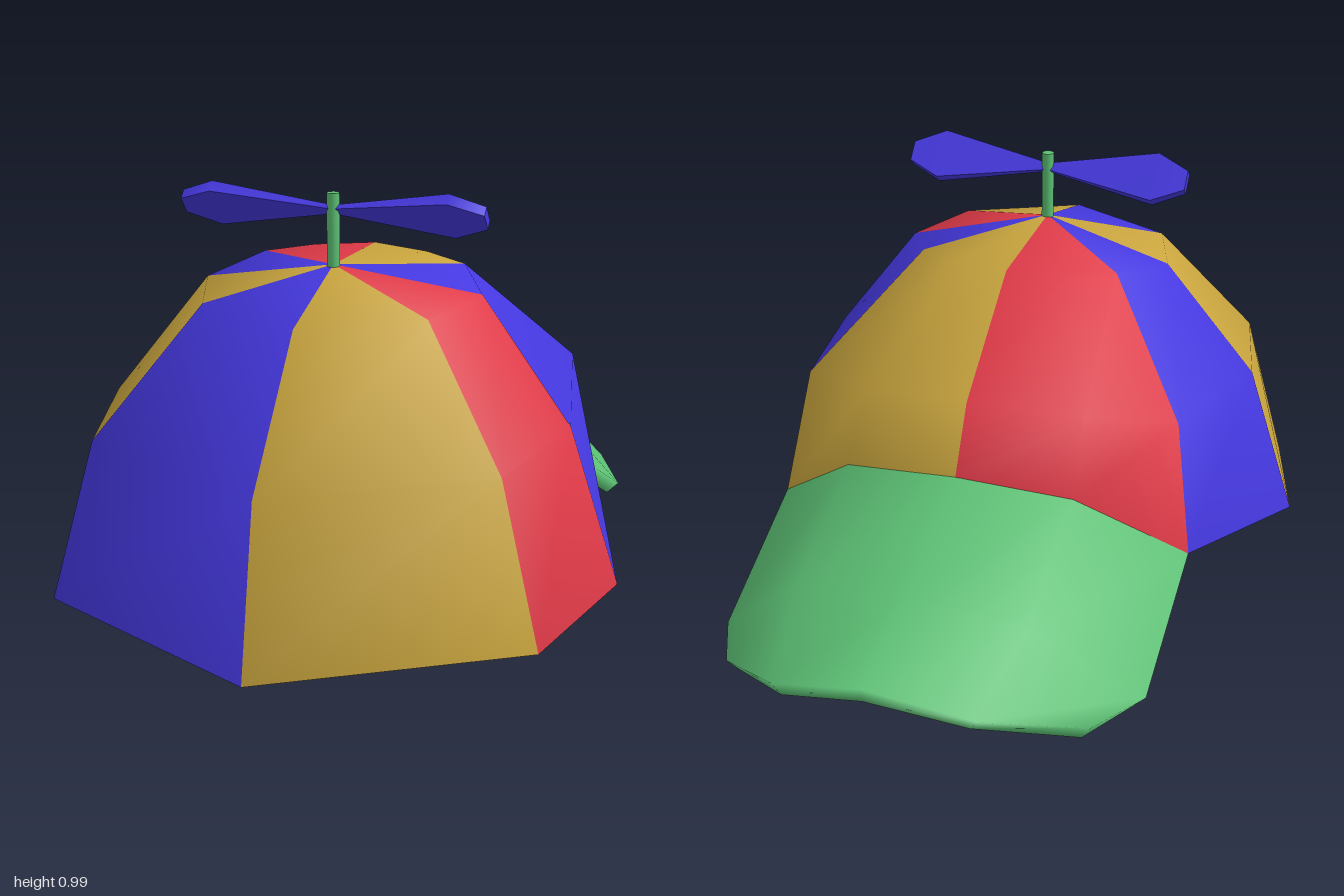
import * as THREE from 'three';

const paint = (name, color) => Object.assign(new THREE.MeshStandardMaterial({ color }), { name });

// Thick shell from a grid of points: outer skin, inner skin and a rim along the open edges
function shell(points, cells, thickness, materialCount, rimMaterial) {
  const n = points.length;
  const tris = [];
  for (const { quad: [a, b, c, d], mat } of cells) {
    if (a !== d) tris.push([a, b, d, mat], [b, c, d, mat]);
    else tris.push([a, b, c, mat]);
  }
  const skin = new THREE.BufferGeometry();
  skin.setAttribute('position', new THREE.Float32BufferAttribute(points.flat(), 3));
  skin.setIndex(tris.flatMap(t => t.slice(0, 3)));
  skin.computeVertexNormals();
  const normals = skin.attributes.normal.array;
  const inner = points.map((p, i) => p.map((v, k) => v - normals[i * 3 + k] * thickness));

  const lists = Array.from({ length: materialCount }, () => []);
  const edges = new Set();
  for (const [a, b, c, mat] of tris) {
    lists[mat].push(a, b, c, a + n, c + n, b + n);
    edges.add(`${a},${b}`).add(`${b},${c}`).add(`${c},${a}`);
  }
  for (const edge of edges) {
    const [a, b] = edge.split(',').map(Number);
    if (!edges.has(`${b},${a}`)) lists[rimMaterial].push(b, a, a + n, b, a + n, b + n);
  }

  const geo = new THREE.BufferGeometry();
  geo.setAttribute('position', new THREE.Float32BufferAttribute([...points, ...inner].flat(), 3));
  geo.setIndex(lists.flat());
  let start = 0;
  lists.forEach((list, m) => {
    if (list.length) geo.addGroup(start, list.length, m);
    start += list.length;
  });
  geo.computeVertexNormals();
  return geo;
}

const flipX = ([x, y, z]) => [-x, y, z];

export function createModel() {
  const yellow = paint('yellow cloth', 0xc9a53e);
  const red = paint('red cloth', 0xe03a48);
  const blue = paint('blue cloth', 0x4538e0);
  const green = paint('green trim', 0x5cc074);
  const materials = [yellow, red, blue, green];
  const Y = 0, R = 1, B = 2, G = 3;

  const model = new THREE.Group();
  model.name = 'propellerCap';
  const add = (name, geo, mat) => {
    const mesh = new THREE.Mesh(geo, mat);
    mesh.name = name;
    model.add(mesh);
    return mesh;
  };

  // Crown: seams from front round the left side to the back, each listed from top to rim
  const half = [
    [[0, 0.72, 0.635], [0, 0.42, 0.915], [0, 0.035, 1]],
    [[0.265, 0.725, 0.49], [0.475, 0.43, 0.655], [0.57, 0.05, 0.69]],
    [[0.335, 0.735, 0.27], [0.555, 0.45, 0.31], [0.673, 0.08, 0.31]],
    [[0.25, 0.765, 0.1], [0.47, 0.5, -0.13], [0.52, 0.19, -0.19]],
    [[0.14, 0.775, 0.04], [0.27, 0.54, -0.25], [0.28, 0.385, -0.36]],
    [[0, 0.78, 0], [0, 0.565, -0.3], [0, 0.41, -0.385]],
  ];
  const seams = [...half, ...half.slice(1, -1).reverse().map(s => s.map(flipX))];
  const panelColours = [Y, R, B, Y, Y, R, R, B, Y, B];
  const crownPoints = [[0, 0.8, 0.34], ...seams.flat()];
  const id = (row, col) => (row === 0 ? 0 : (col % seams.length) * 3 + row);
  const crownCells = [];
  panelColours.forEach((mat, j) => {
    for (let i = 0; i < 3; i++) {
      crownCells.push({ quad: [id(i, j), id(i + 1, j), id(i + 1, j + 1), id(i, j + 1)], mat });
    }
  });
  add('crown', shell(crownPoints, crownCells, 0.04, 4, G), materials);

  // Brim: rows from the crown seam to the outer edge, left half then mirrored
  const brimRows = [
    [[0.52, 0.19, -0.19], [0.28, 0.385, -0.36], [0, 0.41, -0.385]],
    [[0.52, 0.022, -0.57], [0.28, 0.23, -0.68], [0, 0.28, -0.72]],
    [[0.44, 0.04, -0.75], [0.24, 0.135, -0.935], [0, 0.21, -1]],
  ].map(r => [...r, flipX(r[1]), flipX(r[0])]);
  const brimCells = [];
  for (let i = 0; i < 2; i++) {
    for (let j = 0; j < 4; j++) {
      const a = i * 5 + j;
      brimCells.push({ quad: [a, a + 5, a + 6, a + 1], mat: 0 });
    }
  }
  add('brim', shell(brimRows.flat(), brimCells, 0.04, 1, 0), [green]);

  // Propeller stem
  const stem = new THREE.CylinderGeometry(0.015, 0.015, 0.19, 10);
  add('stem', stem, green).position.set(0, 0.872, 0.34);

  // Propeller: a bar reshaped into two pitched blades, sections from the hub to the tip
  const sections = [[0, 0.009, 0.006], [0.28, 0.064, 0.015], [0.36, 0.026, 0.013]];
  const blades = new THREE.BoxGeometry(4, 2, 2, 4, 1, 1);
  const pos = blades.attributes.position;
  for (let i = 0; i < pos.count; i++) {
    const step = Math.round(pos.getX(i));
    const [x, width, depth] = sections[Math.abs(step)];
    pos.setXYZ(i, Math.sign(step) * x, pos.getY(i) * width, pos.getZ(i) * depth);
  }
  blades.computeVertexNormals();
  const propeller = add('propeller', blades, blue);
  propeller.position.set(0, 0.928, 0.34);
  propeller.rotation.x = 0.74;

  return model;
}
